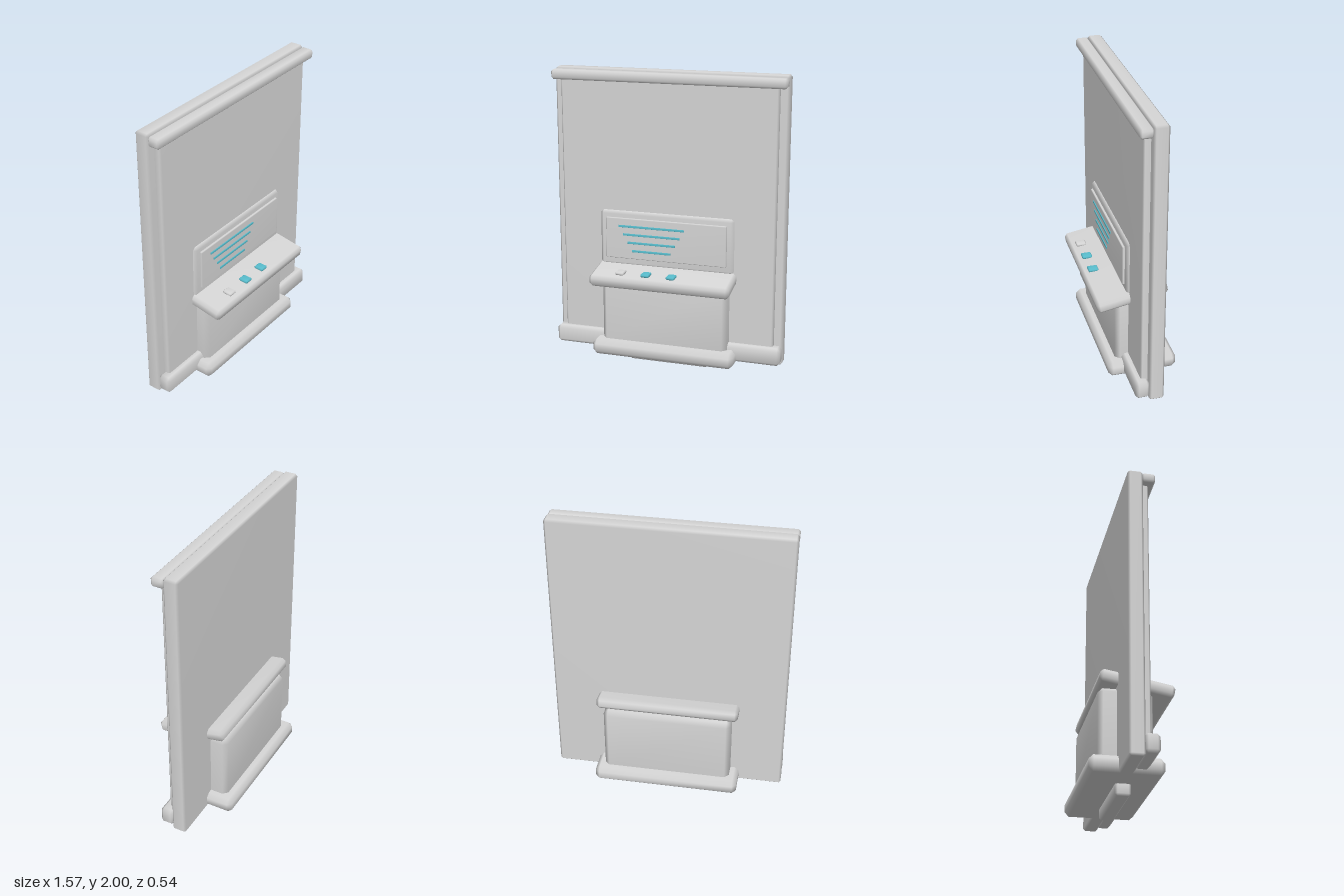
import * as THREE from 'three';
import { mergeVertices } from 'three/addons/utils/BufferGeometryUtils.js';
import { ConvexGeometry } from 'three/addons/geometries/ConvexGeometry.js';

// Box with one chamfer along every edge and soft, shared normals
function chamferBox(w, h, d, c) {
  const half = [w / 2, h / 2, d / 2];
  const points = [];
  for (const sx of [-1, 1]) for (const sy of [-1, 1]) for (const sz of [-1, 1]) {
    const s = [sx, sy, sz];
    for (let face = 0; face < 3; face++) {
      points.push(new THREE.Vector3(...half.map((v, i) => s[i] * (i === face ? v : v - c))));
    }
  }
  const geometry = new ConvexGeometry(points);
  geometry.deleteAttribute('normal');
  const merged = mergeVertices(geometry, 1e-4);
  merged.computeVertexNormals();
  return merged;
}

export function createModel() {
  const model = new THREE.Group();
  model.name = 'wallConsole';

  const material = (name, color) => {
    const m = new THREE.MeshStandardMaterial({ color });
    m.name = name;
    return m;
  };
  const grey = material('grey', 0xd6d6d6);
  const lightGrey = material('lightGrey', 0xd9d9d9);
  const teal = material('teal', 0x5abfcf);

  // Adds a chamfered block spanning the given ranges
  const block = (name, [x0, x1], [y0, y1], [z0, z1], chamfer, mat = grey) => {
    const mesh = new THREE.Mesh(chamferBox(x1 - x0, y1 - y0, z1 - z0, chamfer), mat);
    mesh.position.set((x0 + x1) / 2, (y0 + y1) / 2, (z0 + z1) / 2);
    mesh.name = name;
    model.add(mesh);
    return mesh;
  };

  // Wall panel with a raised board between two rails
  block('wallPanel', [-0.785, 0.785], [0.074, 2], [-0.093, 0.005], 0.014);
  block('raisedBoard', [-0.729, 0.729], [0.13, 1.95], [-0.01, 0.05], 0.01);
  block('topRail', [-0.785, 0.785], [1.926, 1.99], [0, 0.087], 0.014);
  block('bottomRail', [-0.785, 0.785], [0.098, 0.218], [0, 0.094], 0.02);

  // Pedestal running through the panel
  block('foot', [-0.278, 0.278], [0, 0.09], [-0.073, 0.025], 0.014);
  block('base', [-0.491, 0.491], [0.074, 0.18], [-0.27, 0.194], 0.028);
  block('pedestal', [-0.433, 0.433], [0.15, 0.635], [-0.209, 0.135], 0.03);

  // Sloping desk
  const desk = block('desk', [-0.477, 0.477], [0.622, 0.704], [-0.208, 0.268], 0.02);
  desk.rotation.x = 0.174;

  // Push buttons
  [[-0.272, lightGrey], [-0.098, teal], [0.076, teal]].forEach(([x, mat], i) => {
    block('button' + (i + 1), [x - 0.029, x + 0.029], [0.671, 0.693], [0.163, 0.23], 0.006, mat);
  });

  // Display with its lines
  block('displayFrame', [-0.46, 0.46], [0.69, 1.066], [0, 0.07], 0.02);
  block('displayScreen', [-0.415, 0.415], [0.745, 1.022], [0.06, 0.086], 0.005);
  const lines = [[-0.325, 0.13, 0.969], [-0.294, 0.099, 0.913], [-0.262, 0.067, 0.858], [-0.231, 0.036, 0.802]];
  lines.forEach(([x0, x1, y], i) => {
    block('displayLine' + (i + 1), [x0, x1], [y - 0.007, y + 0.007], [0.084, 0.092], 0.001, teal);
  });

  return model;
}
